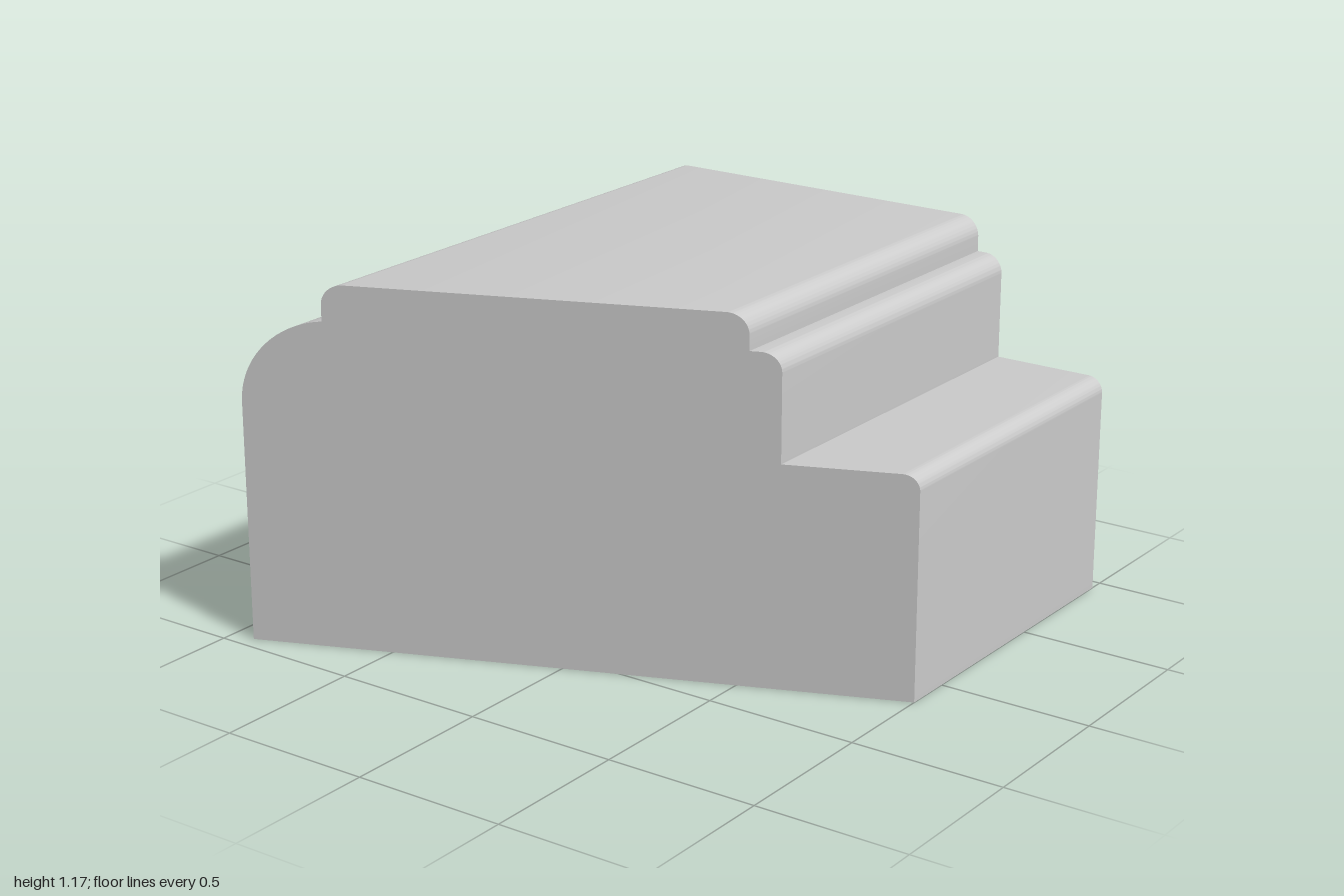
import * as THREE from 'three';
import { toCreasedNormals } from 'three/addons/utils/BufferGeometryUtils.js';

const FRONT = 1, BACK = -0.92, LEFT = 0.95;

// Right-hand wall runs diagonally from the back corner to the front
const slantX = (z) => -0.95 + ((z - BACK) / (FRONT - BACK)) * 0.793;

// Stepped side profile, drawn with x = -z and extruded across the width
function bodyGeometry() {
  const s = new THREE.Shape();
  s.moveTo(-FRONT, 0);
  // front ledge, shoulder and roof, each with a rounded front edge
  const steps = [[-1, 0.717, 0.05], [-0.62, 1.057, 0.06], [-0.53, 1.17, 0.065]];
  for (const [x, y, r] of steps) {
    s.lineTo(x, steps.find((p) => p[0] === x) === steps[0] ? 0 : s.currentPoint.y);
    s.lineTo(x, y - r);
    s.absarc(x + r, y - r, r, Math.PI, Math.PI / 2, true);
  }
  // rounded rear roof edge and the large rear curve
  s.lineTo(0.61, 1.17);
  s.absarc(0.61, 1.105, 0.065, Math.PI / 2, 0, true);
  s.lineTo(0.675, 1.053);
  s.absarc(0.645, 0.78, 0.275, 1.46, 0, true);
  s.lineTo(-BACK, 0);
  s.closePath();

  const g = new THREE.ExtrudeGeometry(s, { depth: 1, bevelEnabled: false, curveSegments: 14 });
  g.rotateY(Math.PI / 2);
  const p = g.attributes.position;
  for (let i = 0; i < p.count; i++) {
    p.setX(i, THREE.MathUtils.lerp(slantX(p.getZ(i)), LEFT, p.getX(i)));
  }
  return toCreasedNormals(g, 0.5);
}

// Plate with cut corners and a bevelled rim, facing backwards
function plate(name, w, h, cut, bevelSize, bevelThickness, zInner, zOuter, color) {
  const a = w / 2, b = h / 2;
  const outline = [
    [-a + cut, -b], [a - cut, -b], [a, -b + cut], [a, b - cut],
    [a - cut, b], [-a + cut, b], [-a, b - cut], [-a, -b + cut],
  ].map(([x, y]) => new THREE.Vector2(x, y));
  const g = new THREE.ExtrudeGeometry(new THREE.Shape(outline), {
    depth: zInner - zOuter - bevelThickness,
    bevelSize, bevelThickness, bevelOffset: -bevelSize, bevelSegments: 1,
  });
  g.rotateY(Math.PI);
  const mesh = new THREE.Mesh(g, new THREE.MeshStandardMaterial({ color, flatShading: true }));
  mesh.name = name;
  mesh.position.set(0.005, 0.702, zInner);
  return mesh;
}

export function createModel() {
  const model = new THREE.Group();
  model.name = 'steppedBlock';

  const body = new THREE.Mesh(bodyGeometry(), new THREE.MeshStandardMaterial({ color: 0xcccccc }));
  body.name = 'body';
  model.add(body);

  // Small lamp on the rear wall
  const lamp = new THREE.Group();
  lamp.name = 'rearLamp';
  lamp.add(
    plate('lampHousing', 0.26, 0.15, 0.03, 0.03, 0.014, BACK, -0.983, 0x1c1d2e),
    plate('lampLens', 0.19, 0.075, 0.006, 0.006, 0.006, -0.97, -1, 0xe08a24),
  );
  model.add(lamp);
  return model;
}
